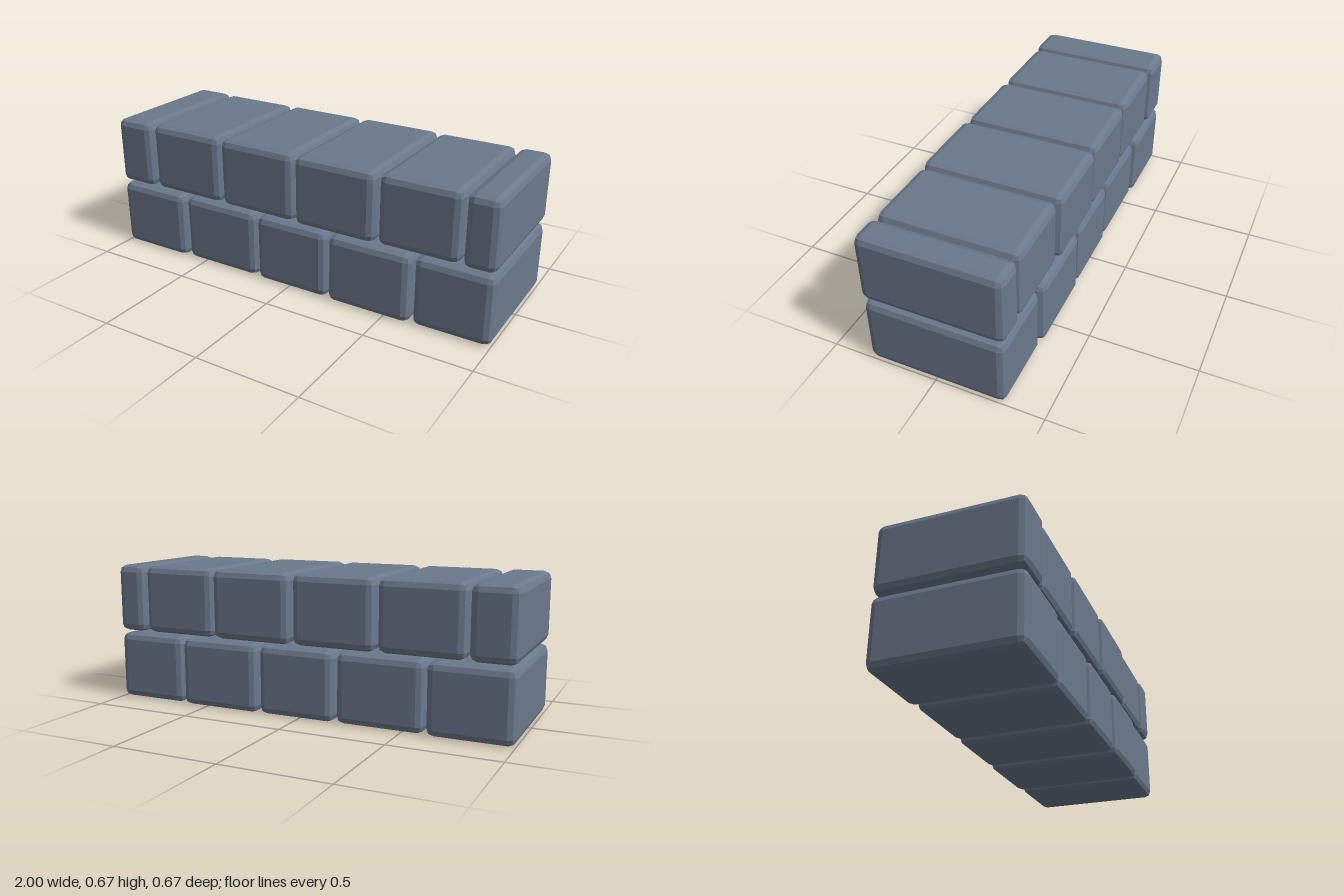
import * as THREE from 'three';
import { RoundedBoxGeometry } from 'three/addons/geometries/RoundedBoxGeometry.js';

const BEVEL = 0.033;
const BLOCK_HEIGHT = 0.328;

// Each course: base height, then blocks as [x start, x end, depth]
const COURSES = [
  {
    name: 'lowerCourse', y: 0,
    blocks: [
      [-1, -0.613, 0.666], [-0.6, -0.187, 0.644], [-0.173, 0.204, 0.654],
      [0.218, 0.625, 0.666], [0.638, 1, 0.645],
    ],
  },
  {
    name: 'upperCourse', y: 0.341,
    blocks: [
      [-1, -0.794, 0.666], [-0.78, -0.383, 0.644], [-0.369, 0.03, 0.65],
      [0.044, 0.447, 0.666], [0.46, 0.838, 0.644], [0.852, 1, 0.654],
    ],
  },
];

export function createModel() {
  const model = new THREE.Group();
  model.name = 'stoneWall';

  const stone = new THREE.MeshStandardMaterial({ color: 0x6b788c, flatShading: true });
  stone.name = 'blue grey stone';

  for (const { name, y, blocks } of COURSES) {
    const course = new THREE.Group();
    course.name = name;
    course.position.y = y + BLOCK_HEIGHT / 2;

    // Blocks with two-step bevelled edges, laid with open joints
    blocks.forEach(([x0, x1, depth], i) => {
      const geometry = new RoundedBoxGeometry(x1 - x0, BLOCK_HEIGHT, depth, 1, BEVEL);
      const block = new THREE.Mesh(geometry, stone);
      block.name = `${name}Block${i + 1}`;
      block.position.x = (x0 + x1) / 2;
      course.add(block);
    });
    model.add(course);
  }
  return model;
}
